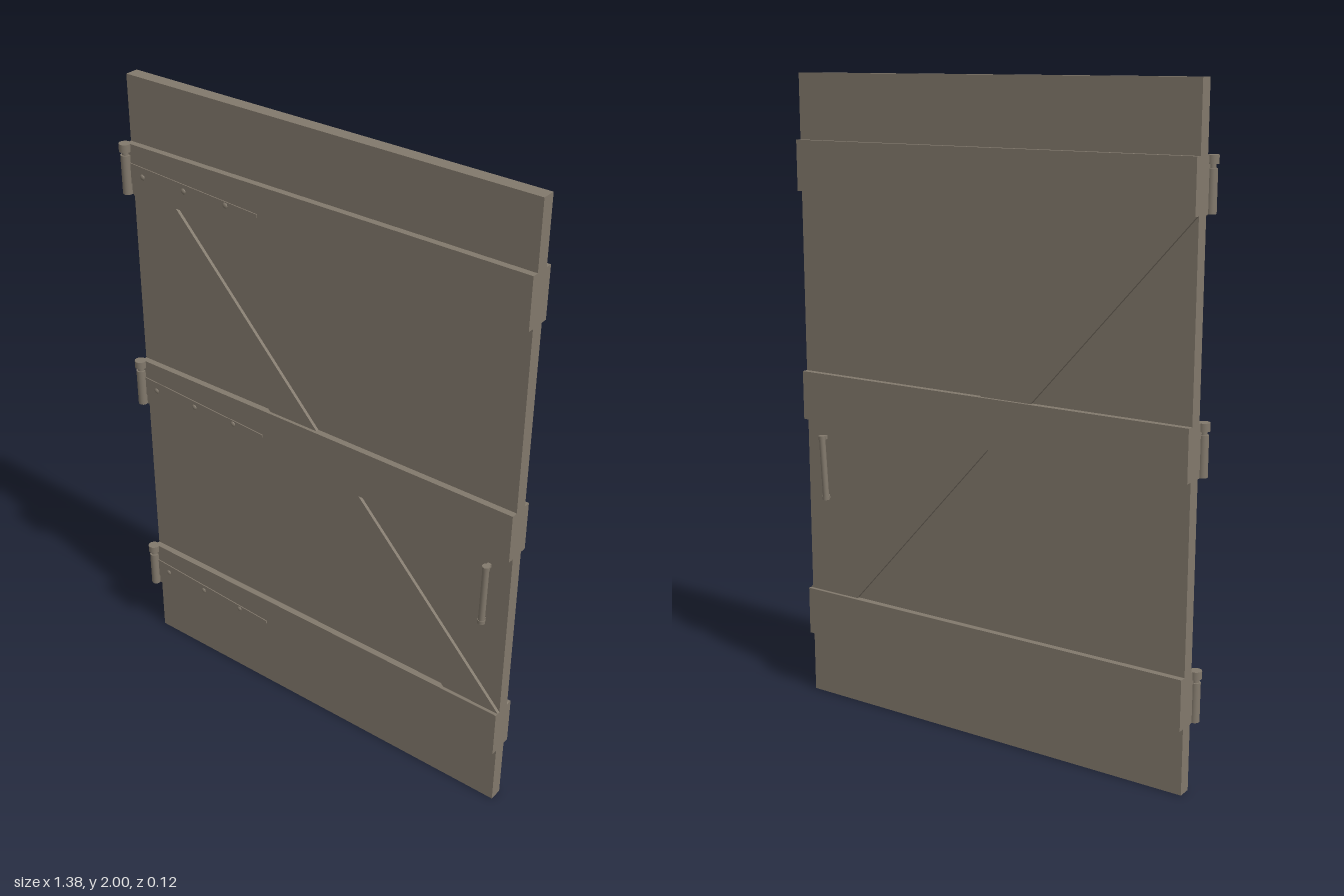
import * as THREE from 'three';

const wood = new THREE.MeshStandardMaterial({ color: 0x82796c });
wood.name = 'weathered wood';

// Door limits and depth planes
const LEFT = -0.672, RIGHT = 0.688;
const FRONT = 0.014, BACK = -0.028, MID = (FRONT + BACK) / 2;
const LEDGE = 0.02, BRACE = 0.01;
const LEDGE_FACE = FRONT + LEDGE;

function add(parent, name, geometry, x = 0, y = 0, z = 0) {
  const mesh = new THREE.Mesh(geometry, wood);
  mesh.name = name;
  mesh.position.set(x, y, z);
  parent.add(mesh);
  return mesh;
}

// Flat plate cut to an outline in the door plane
function plate(points, depth) {
  const shape = new THREE.Shape(points.map(([x, y]) => new THREE.Vector2(x, y)));
  return new THREE.ExtrudeGeometry(shape, { depth, bevelEnabled: false });
}

// Hinge: barrel, pin, cap, tapered strap and its bolts
function makeHinge(y) {
  const hinge = new THREE.Group();
  hinge.name = 'hinge';
  hinge.position.set(0, y, 0);
  const x = -0.673, z = 0.0395;
  add(hinge, 'hingeBarrel', new THREE.CylinderGeometry(0.015, 0.015, 0.12, 16), x, -0.017, z);
  add(hinge, 'hingePin', new THREE.CylinderGeometry(0.01, 0.01, 0.14, 12), x, -0.005, z);
  add(hinge, 'hingeCap', new THREE.CylinderGeometry(0.018, 0.018, 0.024, 16), x, 0.066, z);
  add(hinge, 'hingeStrap', plate([[LEFT, -0.045], [-0.185, -0.018], [-0.185, -0.008], [LEFT, 0.02]], 0.004),
    0, 0, LEDGE_FACE - 0.001);
  for (const bx of [-0.613, -0.455, -0.299]) {
    const bolt = add(hinge, 'bolt', new THREE.SphereGeometry(0.009, 12, 6, 0, Math.PI * 2, 0, Math.PI / 2),
      bx, -0.013, LEDGE_FACE + 0.002);
    bolt.rotation.x = Math.PI / 2;
    bolt.scale.y = 0.6;
  }
  return hinge;
}

// Slightly leaning grip with thin end collars
function makeHandle(side) {
  const handle = new THREE.Group();
  handle.name = side > 0 ? 'frontHandle' : 'backHandle';
  const top = new THREE.Vector3(0.617, 0.88, MID + side * 0.04);
  const bottom = new THREE.Vector3(0.611, 0.67, MID + side * 0.034);
  const axis = top.clone().sub(bottom);
  const length = axis.length();
  handle.position.copy(top).add(bottom).multiplyScalar(0.5);
  handle.quaternion.setFromUnitVectors(new THREE.Vector3(0, 1, 0), axis.normalize());
  add(handle, 'grip', new THREE.CylinderGeometry(0.01, 0.01, length, 16));
  for (const end of [-1, 1]) {
    add(handle, 'gripCollar', new THREE.CylinderGeometry(0.0115, 0.0115, 0.012, 16), 0, end * (length / 2 - 0.006), 0);
    // Short post joining the grip to the door
    add(handle, 'gripPost', new THREE.BoxGeometry(0.012, 0.012, 0.03), 0, end * (length / 2 - 0.008), -side * 0.015);
  }
  return handle;
}

export function createModel() {
  const door = new THREE.Group();
  door.name = 'ledgedAndBracedDoor';
  const cx = (LEFT + RIGHT) / 2, width = RIGHT - LEFT;

  add(door, 'doorPanel', new THREE.BoxGeometry(width, 2, FRONT - BACK), cx, 1, MID);

  const ledges = [0.281, 1.003, 1.723];
  const braces = [
    [[LEFT, 1.645], [-0.16, 1.08], [0.013, 1.08], [-0.505, 1.645]],
    [[-0.013, 0.925], [0.495, 0.359], [RIGHT, 0.359], [0.16, 0.925]],
  ];

  // Ledges and diagonal braces on both faces
  for (const side of [1, -1]) {
    const face = side > 0 ? FRONT : BACK;
    for (const y of ledges) {
      add(door, 'ledge', new THREE.BoxGeometry(width, 0.155, LEDGE), cx, y, face + side * LEDGE / 2);
    }
    for (const outline of braces) {
      add(door, 'brace', plate(outline, BRACE), 0, 0, side > 0 ? face : face - BRACE);
    }
    door.add(makeHandle(side));
  }

  for (const y of ledges) door.add(makeHinge(y));
  return door;
}
